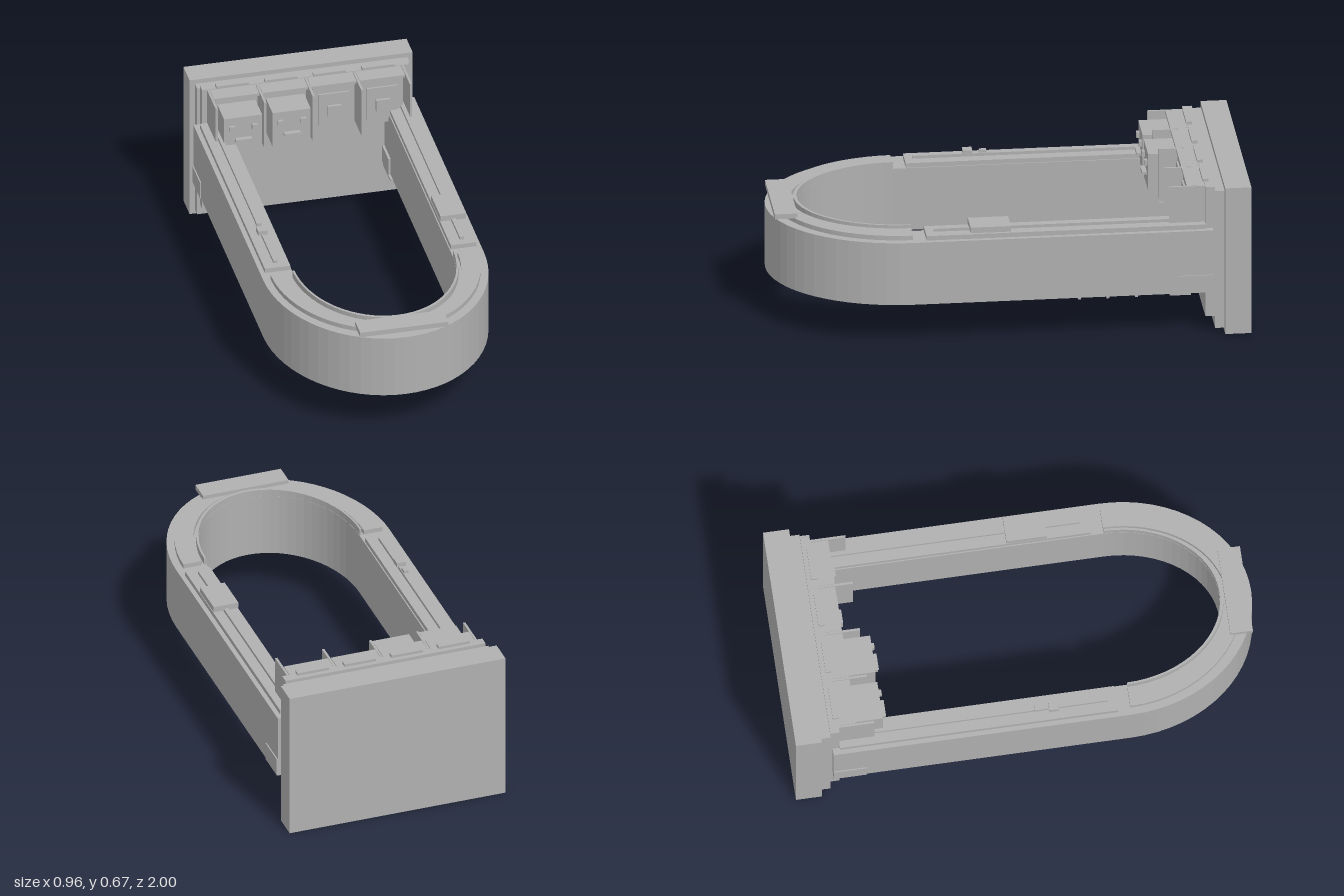
import * as THREE from 'three';

export function createModel() {
  const model = new THREE.Group();
  const grey = new THREE.MeshStandardMaterial({ color: 0xb0b0b0 });
  grey.name = 'plain grey';

  const add = (name, geometry) => {
    const mesh = new THREE.Mesh(geometry, grey);
    mesh.name = name;
    model.add(mesh);
    return mesh;
  };
  // Box given by its limits on each axis
  const box = (name, x0, x1, y0, y1, z0, z1) => {
    const mesh = add(name, new THREE.BoxGeometry(x1 - x0, y1 - y0, z1 - z0));
    mesh.position.set((x0 + x1) / 2, (y0 + y1) / 2, (z0 + z1) / 2);
  };
  // The same box on both sides
  const pair = (name, x0, x1, ...rest) => {
    box(name + 'Left', x0, x1, ...rest);
    box(name + 'Right', -x1, -x0, ...rest);
  };

  // Horizontal U-shaped band: half-ellipse front, straight legs back to zBack
  const bendZ = 0.42;
  const band = (name, outer, inner, y0, y1, zBack) => {
    const arc = ([rx, rz]) => {
      const points = [];
      for (let i = 0; i <= 32; i++) {
        const a = (i / 32) * Math.PI;
        points.push(new THREE.Vector2(rx * Math.cos(a), -bendZ - rz * Math.sin(a)));
      }
      if (zBack < bendZ) {
        points.unshift(new THREE.Vector2(rx, -zBack));
        points.push(new THREE.Vector2(-rx, -zBack));
      }
      return points;
    };
    const shape = new THREE.Shape([...arc(outer), ...arc(inner).reverse()]);
    const geometry = new THREE.ExtrudeGeometry(shape, { depth: y1 - y0, bevelEnabled: false });
    geometry.rotateX(-Math.PI / 2);
    geometry.translate(0, y0, 0);
    add(name, geometry);
  };

  // Layered back plate
  box('backPlate', -0.48, 0.48, 0, 0.66, -1, -0.89);
  box('middlePlate', -0.457, 0.457, 0.02, 0.64, -0.89, -0.85);
  box('frontPlate', -0.445, 0.445, 0.07, 0.655, -0.85, -0.81);

  // Loop body and the strips on its curve
  band('loopBody', [0.475, 0.575], [0.34, 0.44], 0.19, 0.47, -0.84);
  band('curveTrim', [0.443, 0.53], [0.36, 0.47], 0.47, 0.49, bendZ);
  band('innerLip', [0.35, 0.455], [0.341, 0.441], 0.47, 0.5, bendZ);
  box('frontBlock', -0.19, 0.19, 0.485, 0.507, 0.88, 0.975);

  // Rails on the straight legs
  pair('legRail', 0.345, 0.455, 0.47, 0.49, -0.81, 0.365);
  pair('railRidge', 0.392, 0.41, 0.49, 0.503, -0.81, 0.33);
  box('sidePad', 0.345, 0.455, 0.495, 0.52, 0.01, 0.18);
  box('latch', -0.425, -0.385, 0.5, 0.52, 0.08, 0.12);
  box('latchPin', -0.415, -0.395, 0.5, 0.515, 0.02, 0.05);

  // Wall brackets and underside fittings
  pair('bracket', 0.33, 0.48, 0.192, 0.27, -0.84, -0.7);
  pair('underPlate', 0.33, 0.45, 0.182, 0.192, -0.8, -0.66);
  pair('underStep', 0.37, 0.445, 0.17, 0.182, -0.75, -0.52 - 0.14);
  for (const z of [-0.28, -0.4, -0.52]) {
    pair('underBar', 0.37, 0.445, 0.17, 0.19, z - 0.006, z + 0.006);
  }

  // Four stalls: the first two hold heads, the others hold button panels
  for (let i = 0; i < 4; i++) {
    const x = -0.314 + i * 0.209;
    box('stallBack', x - 0.09, x + 0.09, 0.43, 0.64, -0.81, -0.74);
    box('stallTop', x - 0.098, x + 0.098, 0.64, 0.652, -0.82, -0.735);
    box('stallCap', x - 0.07, x + 0.07, 0.655, 0.667, -0.83, -0.805);
    if (i < 2) {
      box('head', x - 0.082, x + 0.082, 0.455, 0.62, -0.74, -0.62);
      for (const s of [-1, 1]) {
        const ex = x + s * 0.049;
        box('eye', ex - 0.012, ex + 0.012, 0.559, 0.583, -0.62, -0.607);
      }
      box('mouth', x - 0.035, x + 0.035, 0.508, 0.521, -0.62, -0.6);
    } else {
      box('panel', x - 0.067, x + 0.067, 0.455, 0.608, -0.74, -0.732);
      box('button', x - 0.03, x + 0.03, 0.5, 0.552, -0.732, -0.72);
    }
  }
  // Thin dividers between the stalls
  for (let i = 0; i < 5; i++) {
    const x = -0.418 + i * 0.209;
    box('divider', x - 0.005, x + 0.005, 0.43, 0.652, -0.81, -0.66);
  }
  return model;
}
